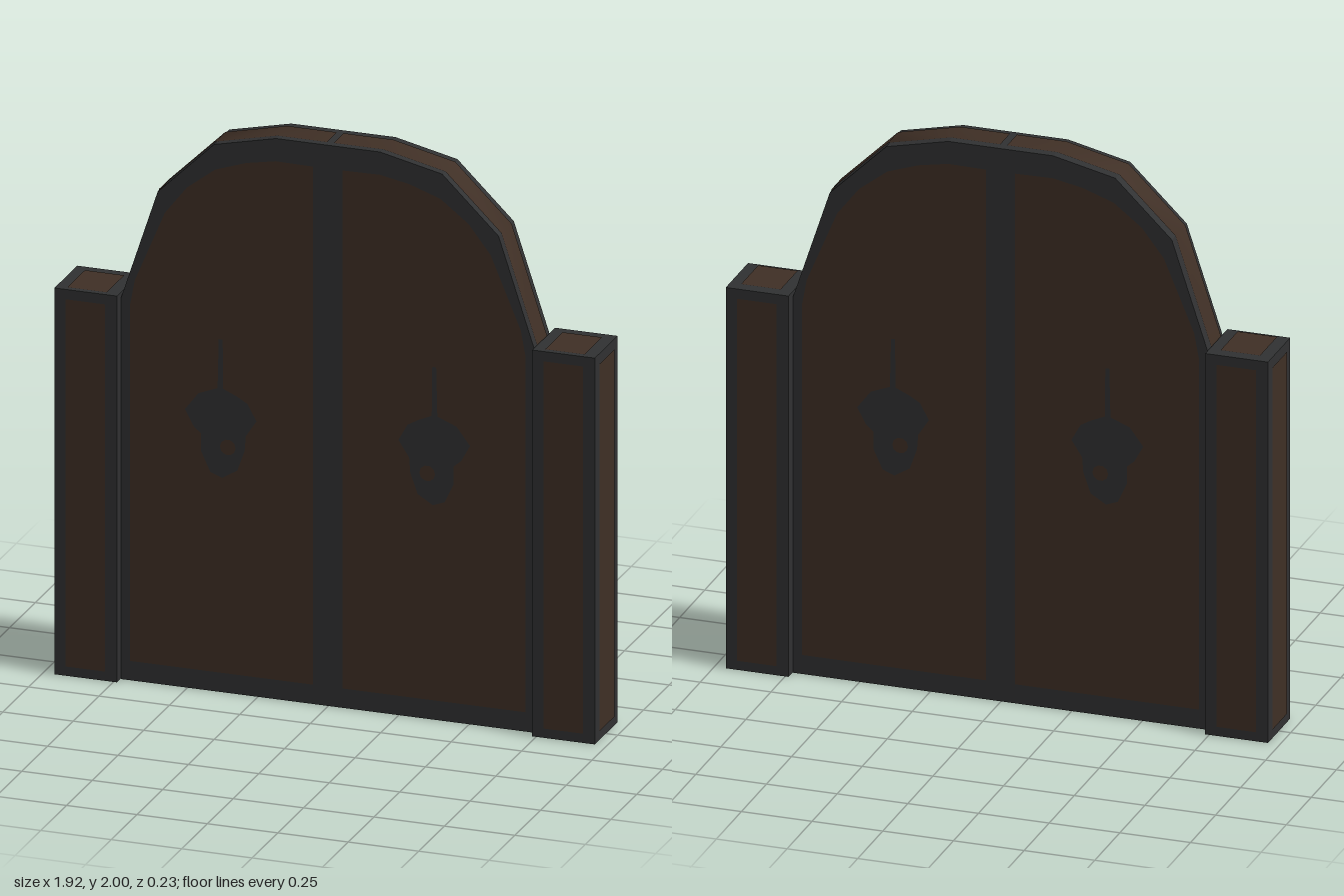
import * as THREE from 'three';

const wood = new THREE.MeshStandardMaterial({ color: 0x3f2f25, side: THREE.DoubleSide });
wood.name = 'dark wood';
const iron = new THREE.MeshStandardMaterial({ color: 0x303132 });
iron.name = 'dark iron';

const DOOR_BACK = -0.072, DOOR_FRONT = 0.077, GAP = 0.003;
const ARCH = [[0.735, 1.36], [0.605, 1.755], [0.405, 1.95], [0.185, 2], [0, 2]];
const LEAF = [[0, 0], [0.735, 0], ...ARCH];
const PANEL = [[0.052, 0.07], [0.702, 0.07], [0.702, 1.34], [0.685, 1.43], [0.578, 1.685],
  [0.5, 1.785], [0.4, 1.862], [0.29, 1.9], [0.185, 1.92], [0.052, 1.918]];
const KNOCKER = [[0.372, 1.26], [0.37, 1.085], [0.32, 1.063], [0.284, 1.042], [0.252, 0.984],
  [0.29, 0.926], [0.294, 0.873], [0.32, 0.8], [0.374, 0.767], [0.416, 0.783], [0.448, 0.852],
  [0.448, 0.915], [0.474, 0.937], [0.506, 0.995], [0.458, 1.058], [0.39, 1.085], [0.386, 1.26]];

// Outline mirrored to either side of the gate
const outline = (pts, s) => new THREE.Shape(pts.map(([x, y]) => new THREE.Vector2(s * x, y)));

function add(parent, name, geometry, material) {
  const mesh = new THREE.Mesh(geometry, material);
  mesh.name = name;
  parent.add(mesh);
  return mesh;
}

// Curved strip of wood let into the rim of the arch
function rimStrip(s) {
  const pos = [], index = [];
  const pts = ARCH.map(([x, y]) => [x, y]);
  pts[pts.length - 1][0] = 0.012;
  pts.forEach(([x, y]) => {
    for (const z of [-0.042, 0.055]) pos.push(s * (x + (x > 0.1 ? GAP : 0)), y + 0.002, z);
  });
  for (let i = 0; i < pts.length - 1; i++) {
    const a = 2 * i, b = a + 1, c = a + 2, d = a + 3;
    if (s > 0) index.push(a, c, b, b, c, d);
    else index.push(a, b, c, b, d, c);
  }
  const g = new THREE.BufferGeometry();
  g.setAttribute('position', new THREE.Float32BufferAttribute(pos, 3));
  g.setIndex(index);
  g.computeVertexNormals();
  return g;
}

function doorLeaf(s) {
  const leaf = new THREE.Group();
  leaf.name = s > 0 ? 'leftDoorLeaf' : 'rightDoorLeaf';

  const body = new THREE.ExtrudeGeometry(outline(LEAF, s), { depth: DOOR_FRONT - DOOR_BACK, bevelEnabled: false });
  add(leaf, 'ironFrame', body, iron).position.z = DOOR_BACK;
  add(leaf, 'archRim', rimStrip(s), wood);

  const sole = add(leaf, 'woodSole', new THREE.PlaneGeometry(0.7, 0.1), wood);
  sole.rotation.x = Math.PI / 2;
  sole.position.set(s * 0.37, -0.001, 0.005);

  // Wood panel and knocker on both faces
  for (const face of [1, -1]) {
    const side = new THREE.Group();
    side.name = face > 0 ? 'frontFace' : 'backFace';
    side.position.z = face > 0 ? DOOR_FRONT : DOOR_BACK;
    if (face < 0) side.rotation.y = Math.PI;
    add(side, 'woodPanel', new THREE.ShapeGeometry(outline(PANEL, s)), wood).position.z = GAP;

    const knocker = outline(KNOCKER, s);
    const hole = new THREE.Path();
    hole.absarc(s * 0.354, 0.878, 0.028, 0, Math.PI * 2, true);
    knocker.holes.push(hole);
    add(side, 'knocker', new THREE.ShapeGeometry(knocker, 5), iron).position.z = GAP * 2;
    leaf.add(side);
  }
  return leaf;
}

function gatePost(s) {
  const W = 0.222, H = 1.378, D = 0.222;
  const post = new THREE.Group();
  post.name = s > 0 ? 'leftPost' : 'rightPost';
  post.position.set(s * 0.848, H / 2, 0);
  add(post, 'ironCore', new THREE.BoxGeometry(W, H, D), iron);

  // Wood panels on the exposed faces
  const panel = (name, w, h, p, r) => {
    const m = add(post, name, new THREE.PlaneGeometry(w, h), wood);
    m.position.set(...p);
    m.rotation.set(...r);
  };
  const q = Math.PI / 2;
  panel('frontPanel', 0.14, 1.31, [0, 0, D / 2 + GAP], [0, 0, 0]);
  panel('backPanel', 0.14, 1.31, [0, 0, -D / 2 - GAP], [0, Math.PI, 0]);
  panel('outerPanel', 0.145, 1.31, [s * (W / 2 + GAP), 0, 0], [0, s * q, 0]);
  panel('topPanel', 0.14, 0.17, [0, H / 2 + GAP, 0.012], [-q, 0, 0]);
  panel('bottomPanel', 0.14, 0.17, [0, -H / 2 - 0.001, 0], [q, 0, 0]);
  return post;
}

export function createModel() {
  const gate = new THREE.Group();
  gate.name = 'archedGate';
  for (const s of [1, -1]) gate.add(doorLeaf(s), gatePost(s));
  return gate;
}
